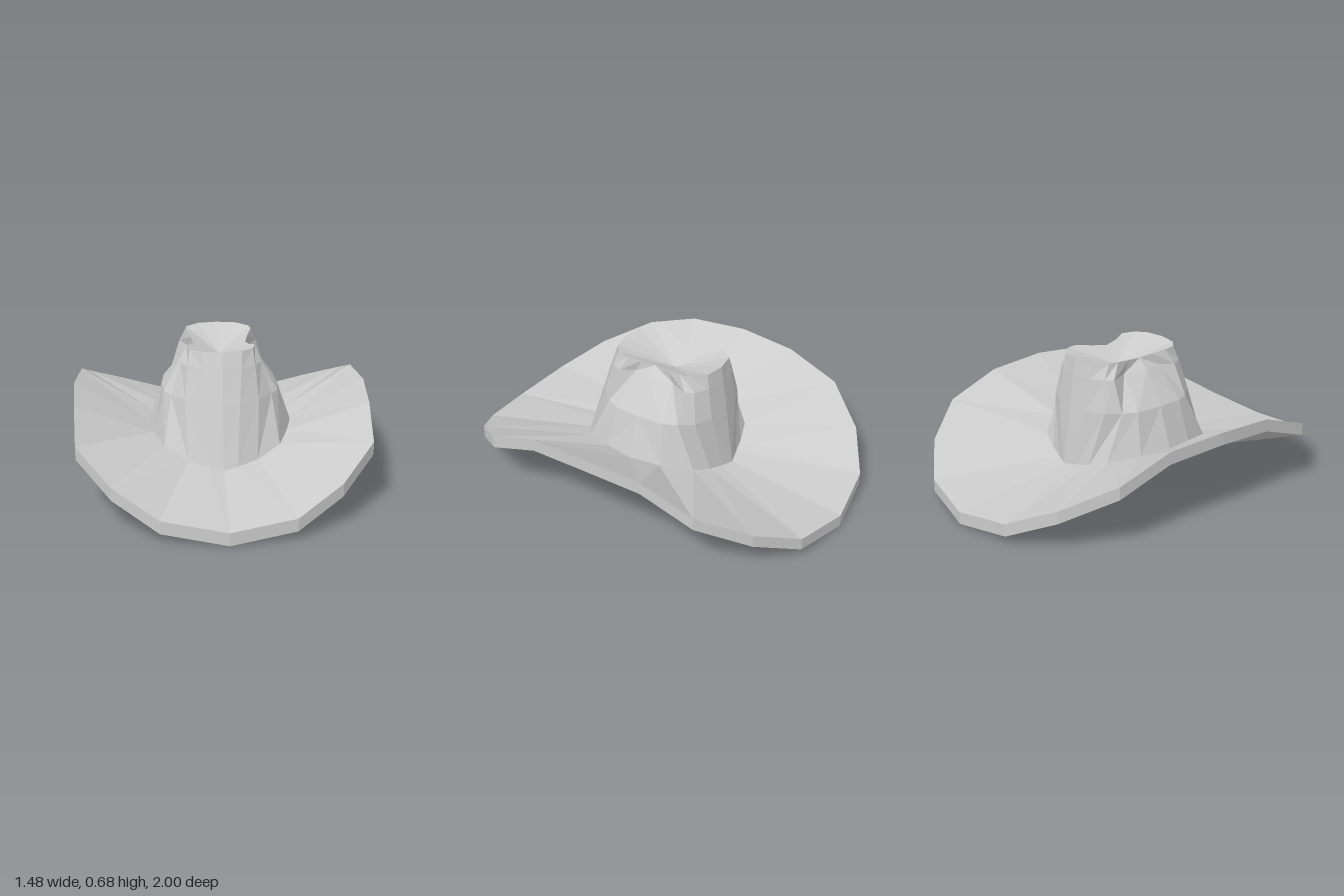
import * as THREE from 'three';

// Mirrors a half outline (front to back along +x) into a closed ring
function ring(half) {
  const other = half.slice(1, -1).reverse().map(([x, y, z]) => [-x, y, z]);
  return [...half, ...other];
}

const shift = (r, dy, s = 1) => r.map(([x, y, z]) => [x * s, y + dy, z * s]);
const point = (x, y, z, n = 20) => Array.from({ length: n }, () => [x, y, z]);

// Skins a list of rings; the diagonals are mirrored left/right
function loft(rings, name) {
  const pos = [];
  const tri = (...corners) => {
    const [a, b, c] = corners.map((p) => new THREE.Vector3(...p));
    if (b.clone().sub(a).cross(c.clone().sub(a)).length() > 1e-9) pos.push(...corners.flat());
  };
  for (let k = 0; k < rings.length - 1; k++) {
    const A = rings[k], B = rings[k + 1], n = A.length;
    for (let i = 0; i < n; i++) {
      const j = (i + 1) % n;
      if (Math.floor((i * 4) / n) % 2 === 0) {
        tri(A[i], A[j], B[j]);
        tri(A[i], B[j], B[i]);
      } else {
        tri(A[i], A[j], B[i]);
        tri(A[j], B[j], B[i]);
      }
    }
  }
  const geo = new THREE.BufferGeometry();
  geo.setAttribute('position', new THREE.Float32BufferAttribute(pos, 3));
  geo.computeVertexNormals();
  const mesh = new THREE.Mesh(geo, new THREE.MeshStandardMaterial({ color: 0xcccccc, flatShading: true }));
  mesh.name = name;
  return mesh;
}

export function createModel() {
  const hat = new THREE.Group();
  hat.name = 'hat';

  // Brim edge: low at front and back, curled up at the sides
  const quarter = [
    [0, 0.063, 1], [0.31, 0.105, 0.95], [0.53, 0.21, 0.81],
    [0.7, 0.325, 0.59], [0.72, 0.425, 0.31], [0.74, 0.445, 0],
  ];
  const back = quarter.slice(0, 5).reverse().map(([x, y, z]) => [x, y, -z]);
  const edgeTop = ring([...quarter, ...back]);

  // Line where the crown meets the brim
  const base = ring([
    [0, 0.135, 0.455], [0.07, 0.15, 0.44], [0.17, 0.165, 0.385], [0.285, 0.21, 0.3],
    [0.335, 0.23, 0.15], [0.365, 0.235, 0], [0.335, 0.23, -0.16], [0.25, 0.205, -0.305],
    [0.15, 0.17, -0.34], [0.07, 0.15, -0.36], [0, 0.14, -0.38],
  ]);

  // Brim with its underside and the shallow head recess
  const rim = shift(base, -0.065, 1.03);
  hat.add(loft([
    point(0, 0.24, 0), shift(rim, 0.08, 0.88), rim,
    shift(edgeTop, -0.063), edgeTop, base,
  ], 'brim'));

  // Crown: flared body, pinched sides and dished top
  const middle = ring([
    [0, 0.44, 0.348], [0.085, 0.44, 0.335], [0.18, 0.44, 0.28], [0.25, 0.44, 0.2],
    [0.285, 0.44, 0.13], [0.293, 0.44, 0], [0.285, 0.44, -0.14], [0.25, 0.44, -0.21],
    [0.2, 0.44, -0.28], [0.11, 0.44, -0.32], [0, 0.44, -0.338],
  ]);
  const pinch = ring([
    [0, 0.6, 0.291], [0.095, 0.6, 0.275], [0.165, 0.6, 0.23], [0.2, 0.6, 0.17],
    [0.155, 0.6, 0.1], [0.185, 0.6, 0], [0.155, 0.6, -0.12], [0.2, 0.6, -0.22],
    [0.17, 0.6, -0.255], [0.105, 0.6, -0.298], [0, 0.6, -0.315],
  ]);
  const top = ring([
    [0, 0.675, 0.262], [0.1, 0.675, 0.245], [0.155, 0.675, 0.2], [0.17, 0.675, 0.13],
    [0.145, 0.66, 0.07], [0.13, 0.65, 0], [0.145, 0.66, -0.08], [0.17, 0.675, -0.17],
    [0.163, 0.675, -0.22], [0.1, 0.675, -0.285], [0, 0.675, -0.303],
  ]);
  hat.add(loft([base, middle, pinch, top, point(0, 0.585, -0.03)], 'crown'));

  return hat;
}
